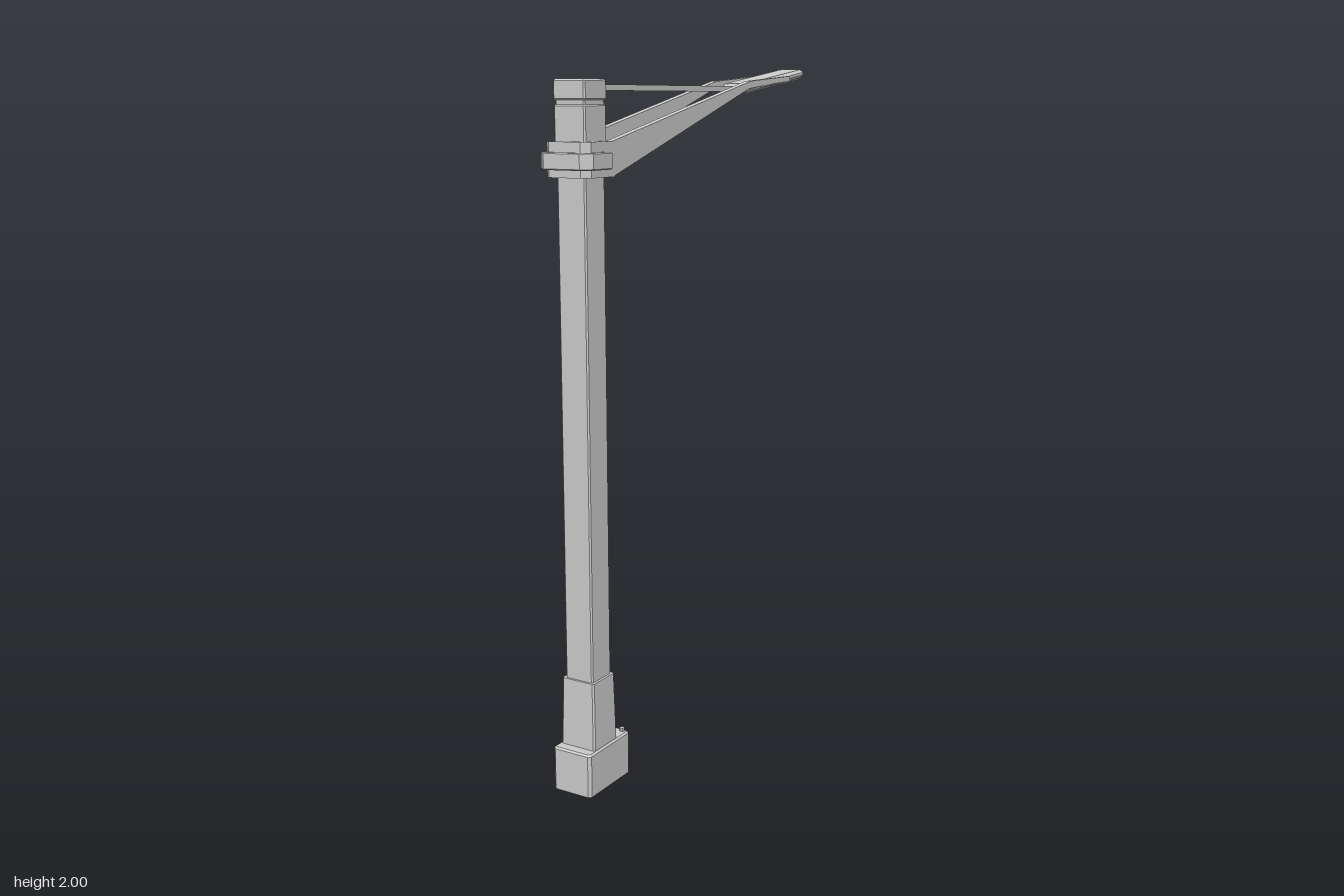
import * as THREE from 'three';

const POST_Z = 0.555;
const material = new THREE.MeshStandardMaterial({ color: 0xcccccc, flatShading: true });

function add(parent, name, geometry) {
  const mesh = new THREE.Mesh(geometry, material);
  mesh.name = name;
  parent.add(mesh);
  return mesh;
}

// Extrude a ground-plan outline of [x, z] points upward from y0 to y1
function planSolid(points, y0, y1, bevel = 0) {
  const shape = new THREE.Shape(points.map(([x, z]) => new THREE.Vector2(x, -z)));
  const geometry = new THREE.ExtrudeGeometry(shape, {
    depth: y1 - y0 - 2 * bevel, bevelEnabled: bevel > 0, bevelSegments: 1,
    bevelThickness: bevel, bevelSize: bevel, bevelOffset: -bevel,
  });
  return geometry.rotateX(-Math.PI / 2).translate(0, y0 + bevel, 0);
}

// Rectangle with cut corners, centred on the origin
function cutRect(hx, hz, c) {
  return [[hx - c, -hz], [hx, -hz + c], [hx, hz - c], [hx - c, hz],
    [-hx + c, hz], [-hx, hz - c], [-hx, -hz + c], [-hx + c, -hz]];
}

function block(parent, name, hx, hz, y0, y1, z, cut = 0.004, bevel = 0) {
  return add(parent, name, planSolid(cutRect(hx, hz, cut), y0, y1, bevel).translate(0, 0, z));
}

// U-shaped strap round the post front, open towards the back
function strap(outer, inner, front, innerFront, back, cut) {
  return [[outer, back], [outer, front - cut], [outer - cut, front],
    [-outer + cut, front], [-outer, front - cut], [-outer, back],
    [-inner, back], [-inner, innerFront], [inner, innerFront], [inner, back]];
}

export function createModel() {
  const model = new THREE.Group();
  model.name = 'streetLamp';

  // Foot, tapered sleeve and post
  block(model, 'foot', 0.063, 0.1, 0, 0.13, 0.543, 0.008, 0.005);
  const sleeve = planSolid(cutRect(0.057, 0.056, 0.005), 0.12, 0.325);
  const p = sleeve.attributes.position;
  for (let i = 0; i < p.count; i++) {
    if (p.getY(i) > 0.3) p.setXYZ(i, p.getX(i) * 0.92, p.getY(i), p.getZ(i) * 0.92);
  }
  add(model, 'sleeve', sleeve.translate(0, 0, POST_Z));
  block(model, 'post', 0.045, 0.045, 0.3, 1.9, POST_Z);

  // Post head with a narrow groove below the lid
  block(model, 'postHead', 0.049, 0.049, 1.79, 1.89, POST_Z, 0.004, 0.003);
  block(model, 'lidNeck', 0.046, 0.046, 1.88, 1.91, POST_Z);
  block(model, 'lid', 0.05, 0.05, 1.9, 1.955, POST_Z, 0.004, 0.005);

  // Bolts on the foot and on the back of the post
  for (const x of [-0.045, 0.045]) {
    add(model, 'footBolt', new THREE.CylinderGeometry(0.007, 0.007, 0.012, 8).translate(x, 0.134, 0.456));
  }
  for (const y of [0.37, 0.435]) {
    add(model, 'postBolt', new THREE.CylinderGeometry(0.01, 0.01, 0.014, 10).rotateX(Math.PI / 2).translate(0, y, 0.506));
  }

  // Two raised rails along the back of the post
  for (const x of [-0.02, 0.02]) {
    add(model, 'backRail', new THREE.BoxGeometry(0.018, 1.15, 0.017).translate(x, 1.225, 0.503));
  }

  // Collar with an outer band
  add(model, 'collar', planSolid(strap(0.07, 0.044, 0.627, 0.598, 0.5, 0.02), 1.705, 1.797));
  add(model, 'collarBand', planSolid(strap(0.083, 0.066, 0.642, 0.615, 0.53, 0.026), 1.725, 1.77, 0.003));

  // Pair of tapering arms, profile in (z, y)
  const profile = new THREE.Shape([
    [0.56, 1.705], [0.51, 1.705], [-0.225, 1.935], [-0.49, 1.96],
    [-0.49, 1.975], [-0.235, 1.957], [0.51, 1.797], [0.56, 1.797],
  ].map(([z, y]) => new THREE.Vector2(z, y)));
  for (const [name, x] of [['leftArm', 0.07], ['rightArm', -0.05]]) {
    const arm = new THREE.ExtrudeGeometry(profile, { depth: 0.02, bevelEnabled: false });
    add(model, name, arm.rotateY(-Math.PI / 2).translate(x, 0, 0));
  }

  // Tie rod from post head to lamp
  add(model, 'tieRod', new THREE.BoxGeometry(0.016, 0.016, 0.79).translate(0, 1.934, 0.125));

  // Tilted lamp head with a lens underneath
  const lamp = new THREE.Group();
  lamp.name = 'lampHead';
  lamp.position.set(0, 1.96, -0.447);
  lamp.rotation.x = 0.13;
  block(lamp, 'lampHousing', 0.046, 0.195, -0.012, 0.014, 0, 0.012, 0.009);
  block(lamp, 'lampLens', 0.034, 0.175, -0.016, -0.01, 0, 0.006);
  // Brackets joining the arms to the housing
  for (const x of [-0.049, 0.049]) {
    add(lamp, 'lampBracket', new THREE.BoxGeometry(0.014, 0.012, 0.12).translate(x, 0, 0.05));
  }
  model.add(lamp);

  return model;
}
